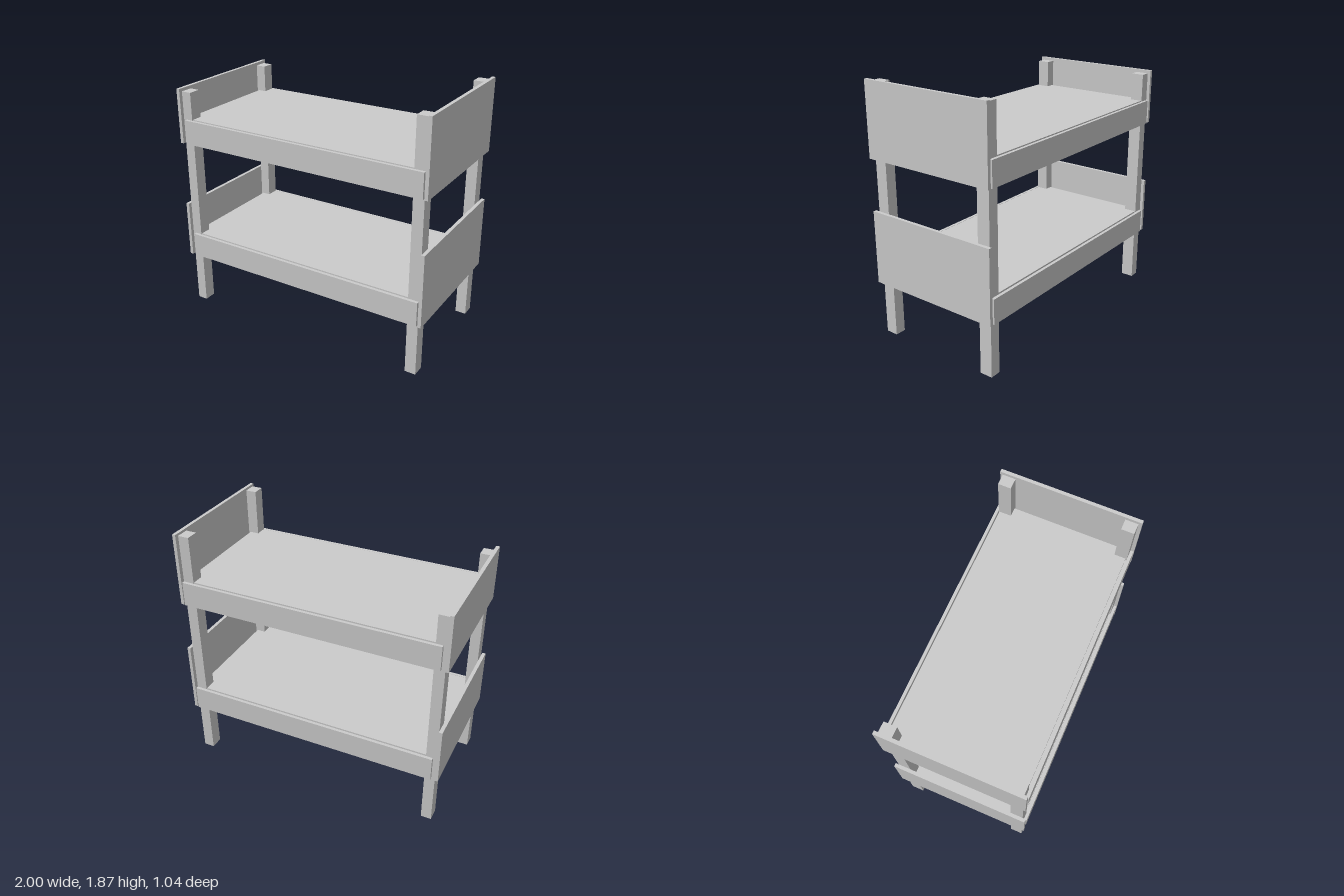
import * as THREE from 'three';

export function createModel() {
  const group = new THREE.Group();
  const material = new THREE.MeshStandardMaterial({ color: 0xcccccc, flatShading: true });

  // Box given by its lower and upper limits on each axis
  function box(name, [x0, x1], [y0, y1], [z0, z1]) {
    const mesh = new THREE.Mesh(new THREE.BoxGeometry(x1 - x0, y1 - y0, z1 - z0), material);
    mesh.position.set((x0 + x1) / 2, (y0 + y1) / 2, (z0 + z1) / 2);
    mesh.name = name;
    group.add(mesh);
  }

  const footX = [-0.972, -0.895];
  const headX = [0.887, 0.968];
  const sides = [
    { name: 'front', post: [0.4, 0.493], rail: [0.493, 0.516] },
    { name: 'back', post: [-0.493, -0.398], rail: [-0.519, -0.497] },
  ];

  // Four corner posts, taller at the head end
  for (const s of sides) {
    box(s.name + 'FootPost', footX, [0, 1.715], s.post);
    box(s.name + 'HeadPost', headX, [0, 1.855], s.post);
  }

  // Two identical bunks; the foot boards are lower than the head boards
  const bunks = [
    { name: 'lower', y: 0.402, footTop: 0.835 },
    { name: 'upper', y: 1.325, footTop: 1.737 },
  ];
  for (const { name, y, footTop } of bunks) {
    box(name + 'HeadBoard', [0.975, 1], [y, y + 0.543], [-0.515, 0.518]);
    box(name + 'FootBoard', [-1, -0.974], [y, footTop], [-0.515, 0.518]);

    // End beams carry the bed base between the posts
    box(name + 'HeadBeam', headX, [y - 0.01, y + 0.08], [-0.398, 0.4]);
    box(name + 'FootBeam', footX, [y - 0.01, y + 0.08], [-0.398, 0.4]);

    // Side rails outside the posts, support beams behind them
    for (const s of sides) {
      box(name + s.name + 'Rail', [-0.947, 0.965], [y, y + 0.182], s.rail);
      box(name + s.name + 'Beam', [footX[1], headX[0]], [y + 0.08, y + 0.165], s.post);
    }

    box(name + 'BedBase', [-0.957, 0.955], [y + 0.165, y + 0.186], [-0.488, 0.484]);
  }
  return group;
}
